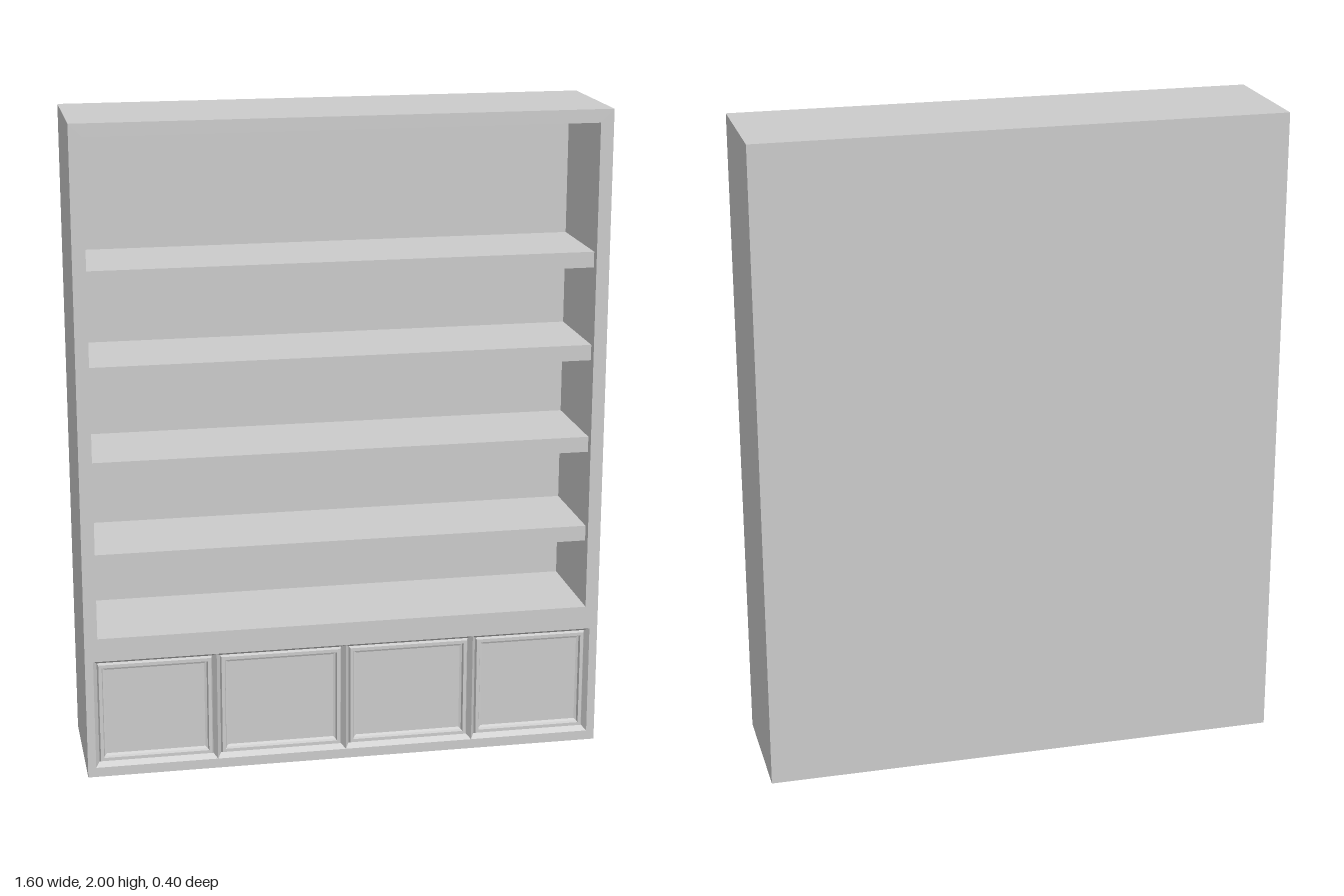
import * as THREE from 'three';

const material = new THREE.MeshStandardMaterial({ color: 0xcccccc, flatShading: true });

function add(parent, name, geometry, x = 0, y = 0, z = 0) {
  const mesh = new THREE.Mesh(geometry, material);
  mesh.name = name;
  mesh.position.set(x, y, z);
  parent.add(mesh);
  return mesh;
}

// Closed rectangle outline, used for the carcass and its openings
function rect(Type, x0, y0, x1, y1) {
  const path = new Type();
  path.moveTo(x0, y0).lineTo(x1, y0).lineTo(x1, y1).lineTo(x0, y1).closePath();
  return path;
}

// Moulded door front: nested rectangles, each [inset, z], closed by a flat panel
function doorGeometry(x0, y0, x1, y1, profile) {
  const loops = profile.map(([d, z]) => [
    [x0 + d, y0 + d, z], [x1 - d, y0 + d, z], [x1 - d, y1 - d, z], [x0 + d, y1 - d, z],
  ]);
  const positions = [];
  const quad = (a, b, c, d) => positions.push(...a, ...b, ...c, ...a, ...c, ...d);
  for (let i = 0; i < loops.length - 1; i++) {
    for (let k = 0; k < 4; k++) {
      const n = (k + 1) % 4;
      quad(loops[i][k], loops[i][n], loops[i + 1][n], loops[i + 1][k]);
    }
  }
  quad(...loops[loops.length - 1]);
  const geometry = new THREE.BufferGeometry();
  geometry.setAttribute('position', new THREE.Float32BufferAttribute(positions, 3));
  geometry.computeVertexNormals();
  return geometry;
}

export function createModel() {
  const group = new THREE.Group();
  group.name = 'bookcase';
  const backZ = -0.135, frontZ = 0.2;

  // Carcass with the shelf opening and the cupboard opening
  const outline = rect(THREE.Shape, -0.8, 0, 0.8, 2);
  outline.holes.push(rect(THREE.Path, -0.76, 0.448, 0.76, 1.96));
  outline.holes.push(rect(THREE.Path, -0.775, 0.03, 0.775, 0.375));
  const carcass = new THREE.ExtrudeGeometry(outline, { depth: frontZ - backZ, bevelEnabled: false });
  add(group, 'carcass', carcass, 0, 0, backZ);

  // Solid back
  add(group, 'backPanel', new THREE.BoxGeometry(1.6, 2, 0.065), 0, 1, -0.1675);

  // Shelves, set slightly behind the front edge
  const shelfFront = 0.173;
  for (const y of [0.681, 0.968, 1.258, 1.545]) {
    add(group, 'shelf', new THREE.BoxGeometry(1.52, 0.048, shelfFront - backZ), 0, y, (shelfFront + backZ) / 2);
  }

  // Four cupboard doors: bevelled edge, raised frame, sunken panel
  const profile = [[0, 0.2], [0.012, 0.18], [0.016, 0.19], [0.026, 0.19], [0.029, 0.18], [0.036, 0.177]];
  const edges = [-0.775, -0.4, 0, 0.4, 0.775];
  for (let i = 0; i < 4; i++) {
    add(group, 'cupboardDoor', doorGeometry(edges[i], 0.03, edges[i + 1], 0.375, profile));
  }
  return group;
}
